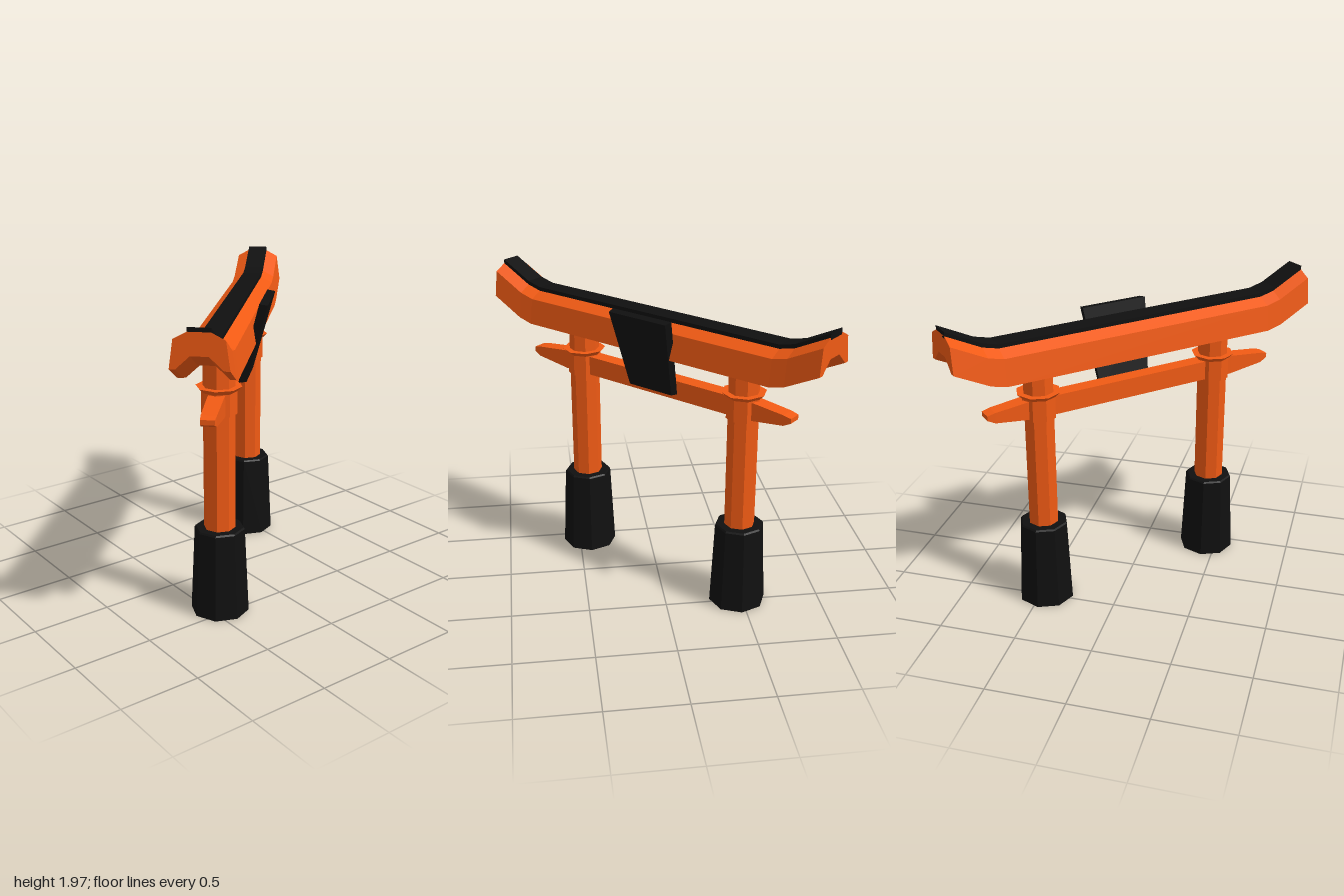
import * as THREE from 'three';

const orange = new THREE.MeshStandardMaterial({ color: 0xf05a14, flatShading: true });
const black = new THREE.MeshStandardMaterial({ color: 0x101010, flatShading: true });

// Joins [x, ring] sections along +x; each ring is counter-clockwise [z, y] points.
function loft(sections) {
  const pos = [];
  const tri = (...pts) => pts.forEach((p) => pos.push(...p));
  const rings = sections.map(([x, ring]) => ring.map(([z, y]) => [x, y, z]));
  const n = rings[0].length;
  for (let i = 0; i < rings.length - 1; i++) {
    for (let j = 0; j < n; j++) {
      const k = (j + 1) % n;
      const a = rings[i][j], b = rings[i][k], c = rings[i + 1][k], d = rings[i + 1][j];
      tri(a, d, c);
      tri(a, c, b);
    }
  }
  const contour = sections[0][1].map(([z, y]) => new THREE.Vector2(z, y));
  const first = rings[0], last = rings[rings.length - 1];
  for (const [a, b, c] of THREE.ShapeUtils.triangulateShape(contour, [])) {
    tri(first[a], first[b], first[c]);
    tri(last[a], last[c], last[b]);
  }
  const geo = new THREE.BufferGeometry();
  geo.setAttribute('position', new THREE.Float32BufferAttribute(pos, 3));
  geo.computeVertexNormals();
  return geo;
}

// Repeats half-length stations on both sides of x = 0.
const mirrored = (stations, ringAt) => [
  ...stations.map((s) => [-s[0], ringAt(s)]).reverse(),
  ...stations.map((s) => [s[0], ringAt(s)]),
];

// Swept-up beam with a fixed cross-section raised at the ends.
const bends = [[0.93, 0], [1.03, 0.025], [1.25, 0.135]];
const upswept = (profile) =>
  loft(mirrored(bends, ([, rise]) => profile.map(([z, y]) => [z, y + rise])));

const rect = (w, y0, y1) => [[-w, y0], [w, y0], [w, y1], [-w, y1]];

export function createModel() {
  const model = new THREE.Group();
  model.name = 'gate';
  const gate = new THREE.Group();
  gate.name = 'gateFrame';
  gate.rotation.y = -Math.PI / 4; // the gate stands on the diagonal
  model.add(gate);

  const add = (parent, name, geo, mat) => {
    const mesh = new THREE.Mesh(geo, mat);
    mesh.name = name;
    parent.add(mesh);
    return mesh;
  };

  // Octagonal turned part from [radius, y] points
  const turned = (pts) => new THREE.LatheGeometry(pts.map(([r, y]) => new THREE.Vector2(r, y)), 8);

  // Pillars with their footing, sleeve and flared collar
  [['rightPillar', -0.665], ['leftPillar', 0.605]].forEach(([name, x]) => {
    const pillar = new THREE.Group();
    pillar.name = name;
    pillar.position.x = x;
    gate.add(pillar);
    add(pillar, 'footing', turned([[0, 0], [0.182, 0], [0.156, 0.553], [0.148, 0.563], [0, 0.563]]), black);
    add(pillar, 'shaft', turned([[0, 0.5], [0.097, 0.5], [0.097, 1.7], [0, 1.7]]), orange);
    add(pillar, 'collar', turned([
      [0.09, 1.295], [0.108, 1.295], [0.108, 1.435], [0.14, 1.465], [0.09, 1.465],
    ]), orange);
  });

  // Top beam, grooved along its underside
  add(gate, 'topBeam', upswept([
    [-0.163, 1.605], [-0.13, 1.605], [-0.05, 1.68], [0.05, 1.68], [0.13, 1.605], [0.163, 1.605],
    [0.14, 1.77], [0.064, 1.81], [-0.064, 1.81], [-0.14, 1.77],
  ]), orange);

  // Ridge cap along the top beam
  add(gate, 'ridgeCap', upswept(rect(0.064, 1.795, 1.835)), black);

  // Lower tie beam with tapered tips
  const tieStations = [[0.72, 0.05, 1.305, 1.43], [0.97, 0.046, 1.335, 1.402], [1.02, 0.042, 1.36, 1.39]];
  add(gate, 'tieBeam', loft(mirrored(tieStations, ([, w, y0, y1]) => rect(w, y0, y1))), orange);

  // Tilted name board at the back, wider at the top
  const board = new THREE.BoxGeometry(1, 0.52, 0.052);
  const p = board.attributes.position;
  for (let i = 0; i < p.count; i++) {
    const t = p.getY(i) / 0.52 + 0.5;
    const bevel = p.getZ(i) < 0 ? 0.008 : 0;
    p.setX(i, Math.sign(p.getX(i)) * (THREE.MathUtils.lerp(0.172, 0.224, t) - bevel));
    p.setZ(i, p.getZ(i) + THREE.MathUtils.lerp(-0.075, -0.21, t));
    p.setY(i, p.getY(i) - (t > 0.5 ? bevel : -bevel));
  }
  board.computeVertexNormals();
  add(gate, 'board', board, black).position.set(-0.03, 1.602, 0);

  return model;
}
